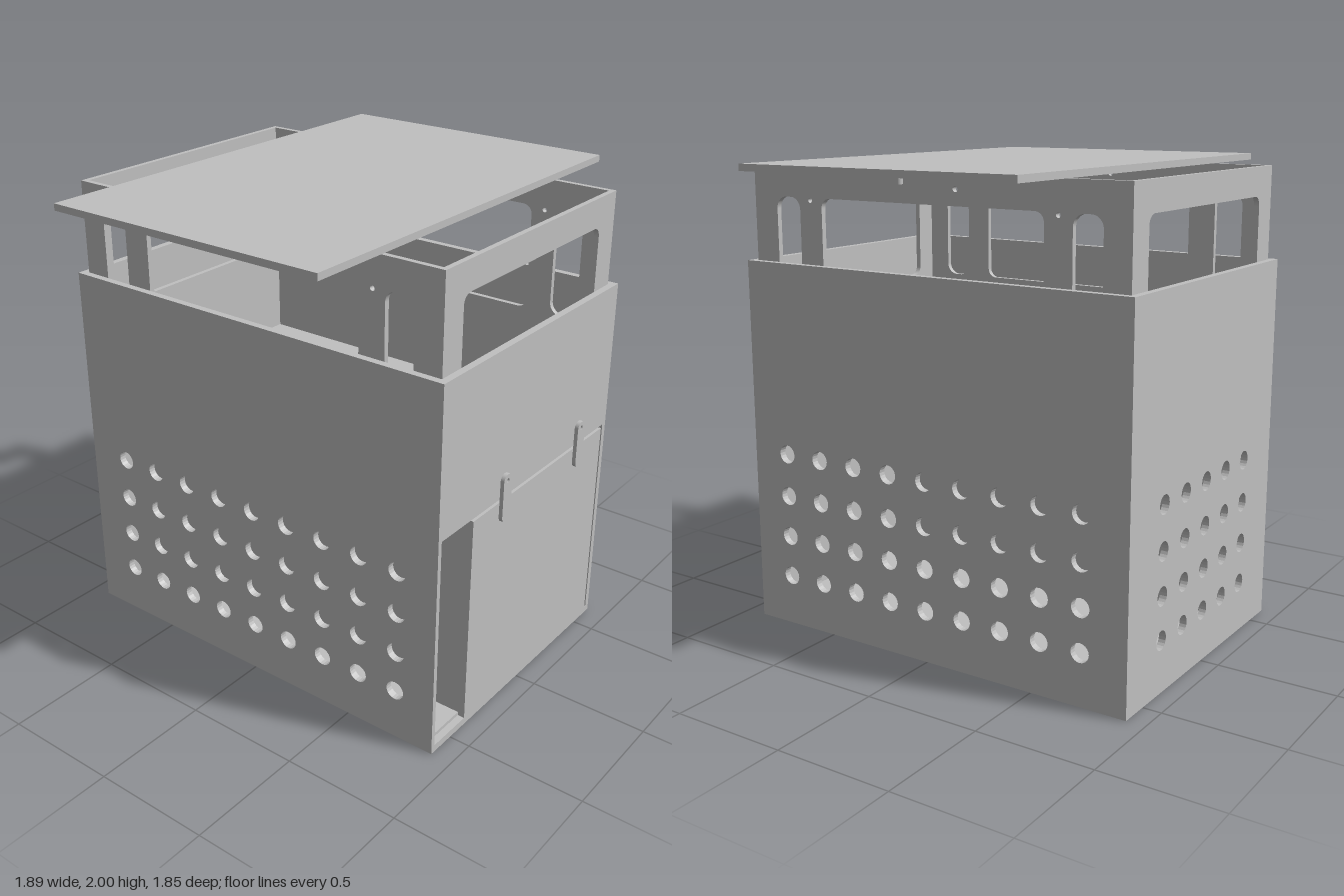
import * as THREE from 'three';

const T = 0.03; // sheet thickness

// Rounded rectangle path from corner (x0, y0) to (x1, y1)
function roundedRect(P, x0, y0, x1, y1, r) {
  const p = new P();
  p.moveTo(x0 + r, y0);
  p.lineTo(x1 - r, y0);
  p.absarc(x1 - r, y0 + r, r, -Math.PI / 2, 0);
  p.lineTo(x1, y1 - r);
  p.absarc(x1 - r, y1 - r, r, 0, Math.PI / 2);
  p.lineTo(x0 + r, y1);
  p.absarc(x0 + r, y1 - r, r, Math.PI / 2, Math.PI);
  p.lineTo(x0, y0 + r);
  p.absarc(x0 + r, y0 + r, r, Math.PI, Math.PI * 1.5);
  return p;
}

function polygon(P, pts) {
  return new P(pts.map(([x, y]) => new THREE.Vector2(x, y)));
}

const rect = (x0, y0, x1, y1) =>
  polygon(THREE.Shape, [[x0, y0], [x1, y0], [x1, y1], [x0, y1]]);

const circle = (x, y, r) => new THREE.Path().absarc(x, y, r, 0, Math.PI * 2);

// Rows of ventilation holes
function ventHoles(columns) {
  const holes = [];
  for (const y of [0.22, 0.4, 0.58, 0.765])
    for (const u of columns) holes.push(circle(u, y, 0.04));
  return holes;
}

export function createModel() {
  const model = new THREE.Group();
  const grey = new THREE.MeshStandardMaterial({ color: 0xc0c0c0 });
  grey.name = 'light grey';

  function add(name, geometry, x = 0, y = 0, z = 0) {
    const mesh = new THREE.Mesh(geometry, grey);
    mesh.name = name;
    mesh.position.set(x, y, z);
    model.add(mesh);
    return mesh;
  }
  function sheet(name, shape, holes, depth, x, y, z) {
    shape.holes.push(...holes);
    const geometry = new THREE.ExtrudeGeometry(shape, { depth, bevelEnabled: false, curveSegments: 10 });
    return add(name, geometry, x, y, z);
  }
  function box(name, x0, x1, y0, y1, z0, z1) {
    return add(name, new THREE.BoxGeometry(x1 - x0, y1 - y0, z1 - z0),
      (x0 + x1) / 2, (y0 + y1) / 2, (z0 + z1) / 2);
  }

  // Front wall: entrance plus the narrow gap around the flush door
  const entrance = polygon(THREE.Path, [
    [-0.61, 0.03], [-0.4, 0.03], [-0.4, 0.938], [0.595, 0.938], [0.595, 0.03],
    [0.605, 0.03], [0.605, 0.952], [-0.61, 0.952],
  ]);
  sheet('frontWall', rect(-0.63, 0, 0.63, 1.58), [entrance], T, 0, 0, 0.88);

  // Back wall
  sheet('backWall', rect(-0.63, 0, 0.63, 1.58), ventHoles([-0.36, -0.18, 0, 0.18, 0.36]), T, 0, 0, -0.92);

  // Side walls, drawn with u = -z
  const columns = Array.from({ length: 9 }, (_, i) => -0.73 + i * 0.181);
  for (const [name, x] of [['leftWall', 0.6], ['rightWall', -0.63]]) {
    sheet(name, rect(-0.88, 0, 0.89, 1.58), ventHoles(columns), T, x, 0, 0).rotation.y = Math.PI / 2;
  }

  // Base with rounded cut-out and the inner floor above it
  const cutOut = roundedRect(THREE.Path, -0.32, -0.61, 0.32, 0.61, 0.05);
  sheet('base', rect(-0.6, -0.88, 0.6, 0.89), [cutOut], T, 0, T, 0).rotation.x = Math.PI / 2;
  box('innerFloor', -0.6, 0.6, 0.03, 0.045, -0.89, 0.88);

  // Shelf and entrance partition
  box('shelf', -0.6, 0.6, 0.955, 0.985, -0.89, 0.88);
  box('partition', -0.4, -0.375, 0.045, 0.955, -0.89, 0.88);

  // Lift-out frame: front and back panels
  const F = 0.022;
  for (const [name, z] of [['frameFront', 0.88 - F], ['frameBack', -0.89]]) {
    const opening = roundedRect(THREE.Path, -0.48, 1.4, 0.48, 1.85, 0.04);
    sheet(name, rect(-0.598, 0.985, 0.598, 1.97), [opening], F, 0, 0, z);
  }

  // Frame side panels with one wide and two narrow windows
  for (const [name, x] of [['frameLeft', 0.598 - F], ['frameRight', -0.598]]) {
    const holes = [
      roundedRect(THREE.Path, -0.52, 1.4, 0.53, 1.85, 0.04),
      roundedRect(THREE.Path, -0.76, 1.4, -0.635, 1.85, 0.05),
      roundedRect(THREE.Path, 0.65, 1.4, 0.775, 1.85, 0.05),
      circle(-0.58, 1.84, 0.01), circle(0.59, 1.84, 0.01), circle(0.14, 1.913, 0.011),
    ];
    sheet(name, rect(-0.88 + F, 0.985, 0.89 - F, 1.97), holes, F, x, 0, 0).rotation.y = Math.PI / 2;
  }

  // Lid board with a stop bar under each end
  box('lid', -0.945, 0.945, 1.972, 2, -0.645, 0.62);
  for (const x of [-0.855, 0.855]) {
    const bar = roundedRect(THREE.Shape, x - 0.013, -0.085, x + 0.013, 0.095, 0.0125);
    sheet('lidStop', bar, [], 0.029, 0, 1.973, -0.0).rotation.x = Math.PI / 2;
    model.children[model.children.length - 1].position.z = -0.01;
  }

  // Turn latches above the door
  for (const x of [-0.19, 0.382]) {
    const latch = roundedRect(THREE.Shape, x - 0.029, 0.848, x + 0.029, 1.055, 0.028);
    sheet('latch', latch, [circle(x, 1.028, 0.009)], 0.016, 0, 0, 0.91);
  }

  return model;
}
